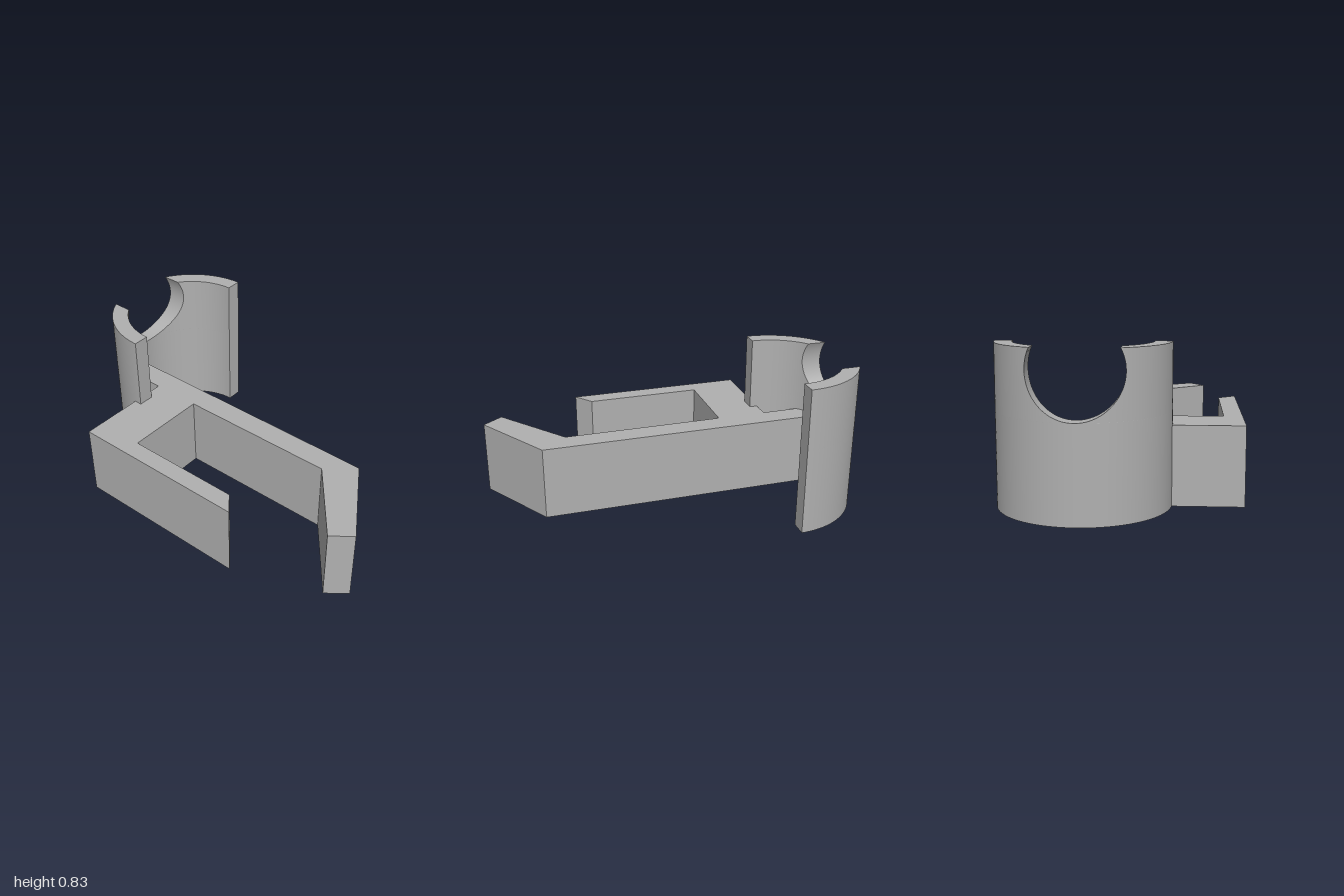
import * as THREE from 'three';
import { mergeGeometries } from 'three/addons/utils/BufferGeometryUtils.js';

const HEIGHT = 0.83, ARM_HEIGHT = 0.415;
const CX = 0.18, CZ = -0.555, OUTER = 0.445, INNER = 0.355; // half ring
const HOLE_Y = 0.725, HOLE_R = 0.235; // round cut through the half ring

// Grid surface from fn(u, v); its front faces du x dv
function patch(fn, nu, nv) {
  const positions = [], index = [];
  for (let j = 0; j <= nv; j++) {
    for (let i = 0; i <= nu; i++) positions.push(...fn(i / nu, j / nv));
  }
  for (let j = 0; j < nv; j++) {
    for (let i = 0; i < nu; i++) {
      const a = j * (nu + 1) + i, d = a + nu + 1;
      index.push(a, a + 1, d + 1, a, d + 1, d);
    }
  }
  const g = new THREE.BufferGeometry();
  g.setAttribute('position', new THREE.Float32BufferAttribute(positions, 3));
  g.setIndex(index);
  g.computeVertexNormals();
  return g;
}

const ringPoint = (r, a, y) => [CX + r * Math.cos(a), y, CZ - r * Math.sin(a)];
const lerp = THREE.MathUtils.lerp;

// Curved wall between angles lo(r, y) and hi(r, y), with rows at yAt(v)
function wall(lo, hi, yAt, nu, nv, hasBottom, hasTop) {
  const at = (r, u, v) => {
    const y = yAt(v);
    return ringPoint(r, lerp(lo(r, y), hi(r, y), u), y);
  };
  const parts = [
    patch((u, v) => at(OUTER, u, v), nu, nv),
    patch((u, v) => at(INNER, 1 - u, v), nu, nv),
    patch((u, v) => at(lerp(INNER, OUTER, u), 0, v), 1, nv),
    patch((u, v) => at(lerp(OUTER, INNER, u), 1, v), 1, nv),
  ];
  if (hasTop) parts.push(patch((u, v) => at(lerp(OUTER, INNER, v), u, 1), nu, 1));
  if (hasBottom) parts.push(patch((u, v) => at(lerp(INNER, OUTER, v), u, 0), nu, 1));
  return mergeGeometries(parts);
}

export function createModel() {
  const grey = new THREE.MeshStandardMaterial({ color: 0xb0b0b0 });
  grey.name = 'grey';
  const model = new THREE.Group();
  model.name = 'hookBracket';
  const add = (name, geometry) => {
    const mesh = new THREE.Mesh(geometry, grey);
    mesh.name = name;
    model.add(mesh);
  };

  // Forked clamp: long bent arm, crossbar and short arm, outlined as (x, z)
  const outline = [
    [0.06, -0.93], [0.06, 0.735], [-0.37, 1.0], [-0.455, 0.89],
    [-0.07, 0.585], [-0.07, -0.32], [-0.53, -0.32], [-0.53, 0.335],
    [-0.63, 0.415], [-0.63, -0.6], [-0.07, -0.6], [-0.07, -0.87],
  ];
  const shape = new THREE.Shape(outline.map(([x, z]) => new THREE.Vector2(x, -z)));
  const clamp = new THREE.ExtrudeGeometry(shape, { depth: ARM_HEIGHT, bevelEnabled: false });
  clamp.rotateX(-Math.PI / 2);
  add('forkedClamp', clamp);

  // Half ring below the round cut
  const holeBottom = HOLE_Y - HOLE_R;
  add('lowerHalfRing', wall(() => 0, () => Math.PI, (v) => v * holeBottom, 64, 1, true, false));

  // Two horns of the half ring, beside the round cut
  const topAngle = Math.acos((HOLE_Y - HEIGHT) / HOLE_R);
  const rowY = (v) => HOLE_Y - HOLE_R * Math.cos(v * topAngle);
  const edge = (r, y) =>
    Math.acos(Math.sqrt(Math.max(0, HOLE_R ** 2 - (y - HOLE_Y) ** 2)) / r);
  add('leftHorn', wall(() => 0, edge, rowY, 32, 32, false, true));
  add('rightHorn', wall((r, y) => Math.PI - edge(r, y), () => Math.PI, rowY, 32, 32, false, true));

  return model;
}
